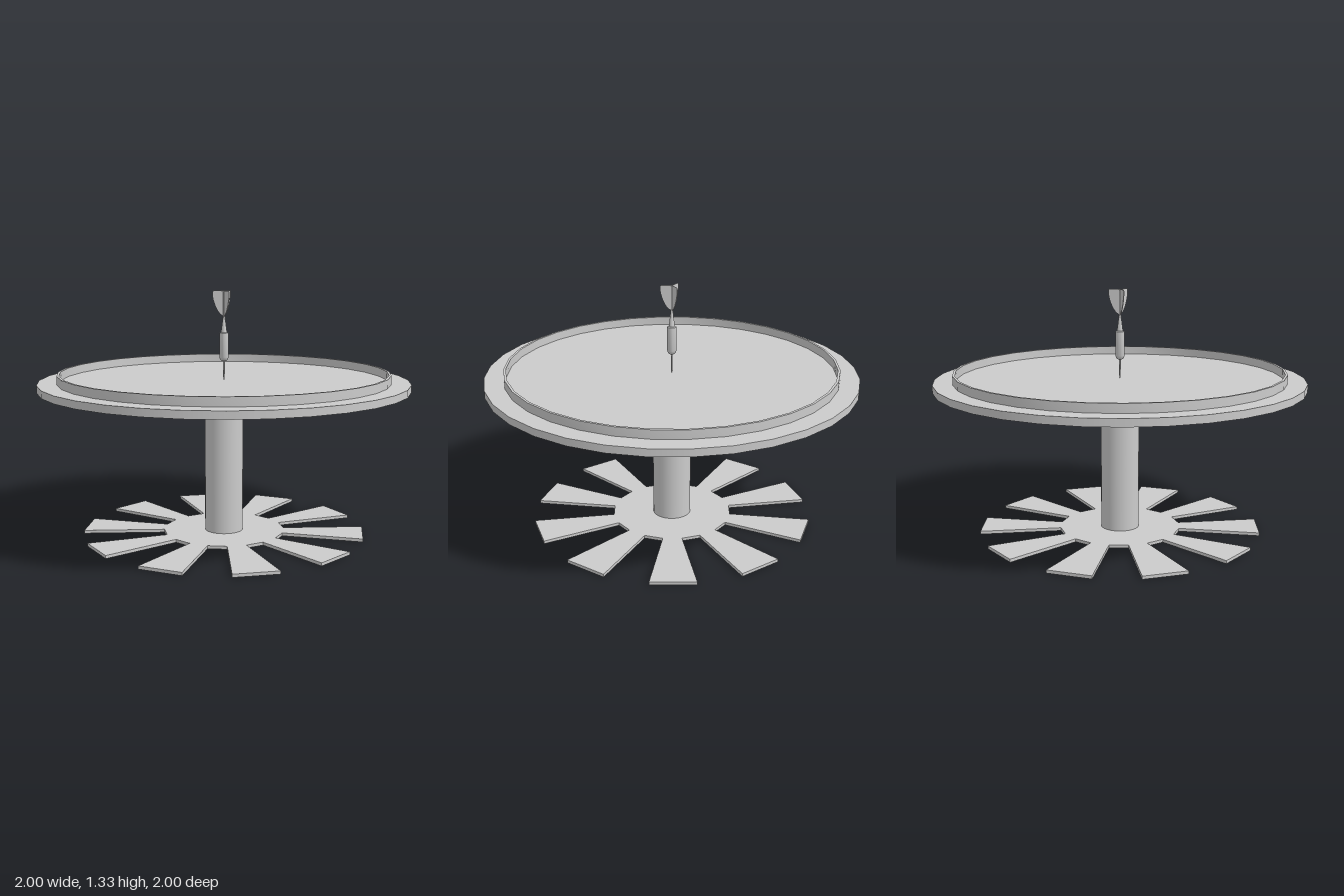
import * as THREE from 'three';
import { toCreasedNormals } from 'three/addons/utils/BufferGeometryUtils.js';

const material = new THREE.MeshStandardMaterial({ color: 0xcccccc });

function add(parent, name, geometry, y = 0) {
  const mesh = new THREE.Mesh(geometry, material);
  mesh.name = name;
  mesh.position.y = y;
  parent.add(mesh);
  return mesh;
}

// Turned part from [radius, y] pairs, listed bottom to top on the outside
function turned(profile, sides) {
  const points = profile.map(([r, y]) => new THREE.Vector2(r, y));
  return toCreasedNormals(new THREE.LatheGeometry(points, sides), 0.6);
}

// Flat hub with ten wedge-shaped feet, each as wide as the gap beside it
function footPlate() {
  const shape = new THREE.Shape();
  const step = Math.PI / 10, inner = 0.33, outer = 0.772;
  const point = (r, a) => [r * Math.sin(a), -r * Math.cos(a)];
  for (let i = 0; i < 20; i += 2) {
    const a = i * step, b = a + step;
    if (i === 0) shape.moveTo(...point(inner, a));
    else shape.lineTo(...point(inner, a));
    shape.lineTo(...point(outer, a));
    shape.lineTo(...point(outer, b));
    shape.lineTo(...point(inner, b));
  }
  shape.closePath();
  const geometry = new THREE.ExtrudeGeometry(shape, { depth: 0.017, bevelEnabled: false });
  return geometry.rotateX(-Math.PI / 2);
}

// Thin vane standing out along +x from the shaft
function vane() {
  const thickness = 0.004;
  const shape = new THREE.Shape();
  shape.moveTo(0, 1.19);
  shape.lineTo(0.012, 1.2);
  shape.bezierCurveTo(0.035, 1.215, 0.055, 1.26, 0.061, 1.3);
  shape.lineTo(0.061, 1.322);
  shape.quadraticCurveTo(0.061, 1.33, 0.053, 1.33);
  shape.lineTo(0, 1.33);
  shape.closePath();
  const geometry = new THREE.ExtrudeGeometry(shape, { depth: thickness, bevelEnabled: false, curveSegments: 8 });
  return geometry.translate(0, 0, -thickness / 2);
}

export function createModel() {
  const model = new THREE.Group();
  model.name = 'tableWithDart';

  // Stand
  add(model, 'footPlate', footPlate());
  add(model, 'column', new THREE.CylinderGeometry(0.104, 0.104, 0.8, 32), 0.41);

  // Table top with a raised ring
  add(model, 'tableTop', new THREE.CylinderGeometry(1, 1, 0.04, 32), 0.828);
  add(model, 'raisedRim', turned(
    [[0.895, 0.84], [0.895, 0.895], [0.882, 0.895], [0.882, 0.84]], 32));

  // Dart standing on its point
  const dart = new THREE.Group();
  dart.name = 'dart';
  model.add(dart);
  add(dart, 'needle', turned([[0, 0.845], [0.004, 0.865], [0.005, 0.96]], 12));
  add(dart, 'barrel', turned(
    [[0, 0.955], [0.014, 0.955], [0.021, 0.962], [0.025, 0.975], [0.025, 1.105], [0.017, 1.108], [0, 1.108]], 20));
  add(dart, 'shaft', turned(
    [[0.017, 1.105], [0.009, 1.165], [0.006, 1.2], [0.006, 1.326], [0, 1.33]], 16));

  // Three vanes: one to the back, two angled forward
  const vaneGeometry = vane();
  for (let i = 0; i < 3; i++) {
    add(dart, 'vane', vaneGeometry).rotation.y = Math.PI / 2 + i * Math.PI * 2 / 3;
  }
  return model;
}
